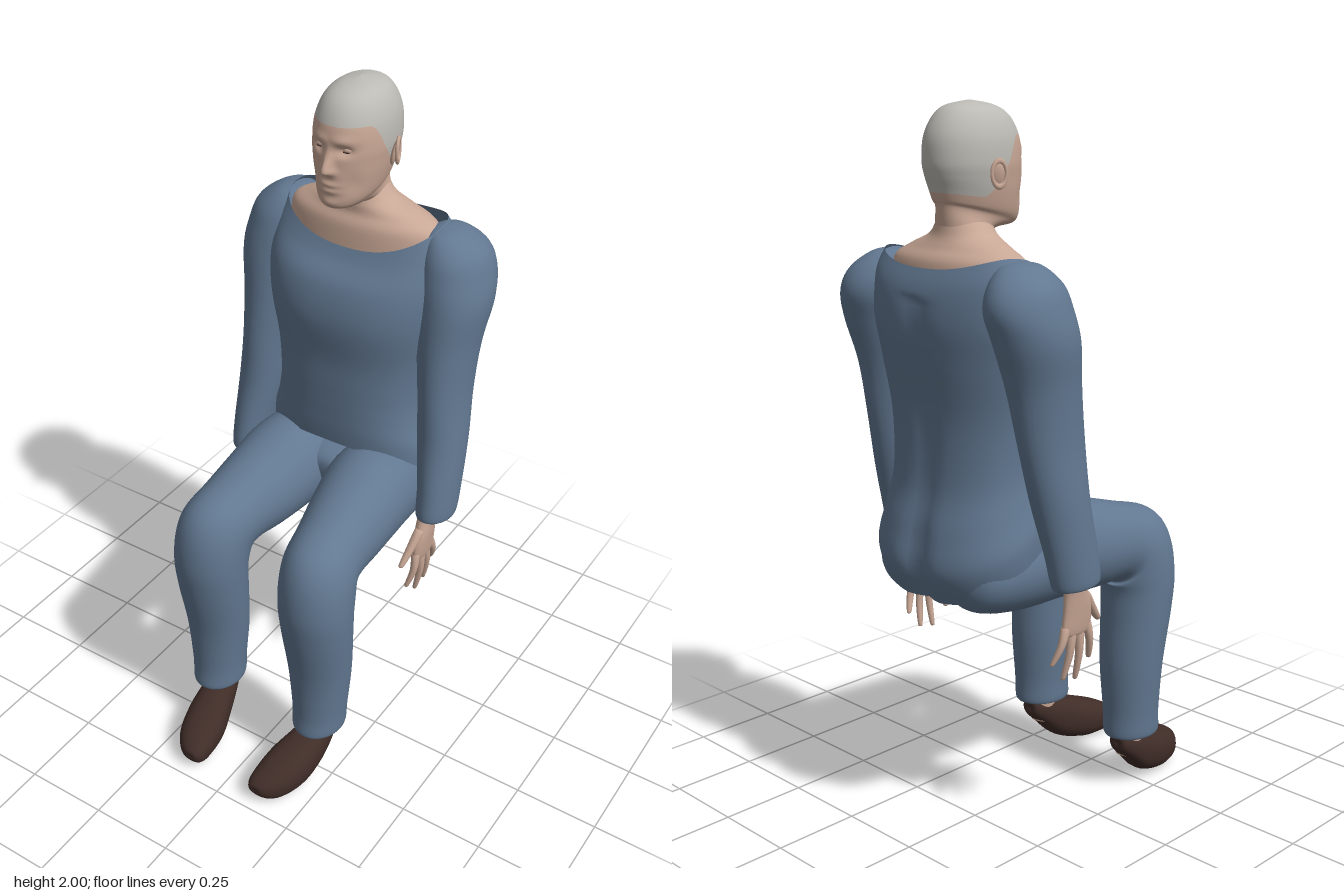
import * as THREE from 'three';

const mat = (name, color, side = THREE.FrontSide) => {
  const m = new THREE.MeshStandardMaterial({ color, side });
  m.name = name;
  return m;
};

// Smooth grid surface closed around theta; point(s, theta) with s from 0 to 1
function surface(point, rows, cols) {
  const pos = [], idx = [];
  for (let i = 0; i <= rows; i++) {
    for (let j = 0; j < cols; j++) pos.push(...point(i / rows, (j / cols) * Math.PI * 2));
  }
  for (let i = 0; i < rows; i++) {
    for (let j = 0; j < cols; j++) {
      const a = i * cols + j, b = i * cols + (j + 1) % cols;
      idx.push(a, b, a + cols, b, b + cols, a + cols);
    }
  }
  const g = new THREE.BufferGeometry();
  g.setAttribute('position', new THREE.Float32BufferAttribute(pos, 3));
  g.setIndex(idx);
  g.computeVertexNormals();
  return g;
}

// Ring: [x, y, z, half width, half depth, tilt in degrees, side lift]
// tilt 0 stands upright across z, tilt 90 lies level
function ringAt(rings, t) {
  const n = rings.length - 1, i = Math.min(Math.floor(t), n - 1), f = t - i;
  const at = (k) => rings[Math.max(0, Math.min(n, k))];
  return [0, 1, 2, 3, 4, 5, 6].map((c) => {
    const [p0, p1, p2, p3] = [-1, 0, 1, 2].map((k) => at(i + k)[c] ?? 0);
    return p1 + 0.5 * f * (p2 - p0 + f * (2 * p0 - 5 * p1 + 4 * p2 - p3 + f * (3 * (p1 - p2) + p3 - p0)));
  });
}

function ringPoint(rings, t, th, pow = 1) {
  const [x, y, z, rx, rv, deg, lift] = ringAt(rings, t);
  const a = THREE.MathUtils.degToRad(deg), c = Math.cos(th), s = Math.sin(th);
  const u = Math.sign(c) * Math.abs(c) ** pow * Math.max(rx, 0);
  const v = Math.sign(s) * Math.abs(s) ** pow * Math.max(rv, 0);
  return [x + u, y + v * Math.cos(a) + lift * c * c, z + v * Math.sin(a)];
}

function loft(rings, { cols = 32, steps = 6, pow = 1, warp = (p) => p } = {}) {
  const n = rings.length - 1;
  return surface((s, th) => warp(ringPoint(rings, s * n, th, pow), th), n * steps, cols);
}

// Close both ends with a point
const closed = (rings) => {
  const tip = (r) => [r[0], r[1], r[2], 0.0005, 0.0005, r[5], 0];
  return [tip(rings[0]), ...rings, tip(rings[rings.length - 1])];
};

const gauss = (d, s) => Math.exp(-(d * d) / (s * s));

export function createModel() {
  const root = new THREE.Group();
  root.name = 'seatedMan';
  const cloth = mat('blue cloth', 0x627891, THREE.DoubleSide);
  const skin = mat('skin', 0xc8a795, THREE.DoubleSide);
  const hair = mat('grey cropped hair', 0xbcbab4);
  const leather = mat('dark brown leather', 0x402d28);
  const add = (name, geo, material) => {
    const m = new THREE.Mesh(geo, material);
    m.name = name;
    root.add(m);
    return m;
  };

  // Shirt body, wide collar down to slanted hem
  const shirt = [
    [0, 1.565, -0.288, 0.235, 0.123, 101, 0.055],
    [0, 1.52, -0.29, 0.262, 0.145, 95, 0.045],
    [0, 1.45, -0.272, 0.272, 0.173, 90, 0.01],
    [0, 1.35, -0.255, 0.258, 0.18, 90],
    [0, 1.2, -0.25, 0.232, 0.165, 85],
    [0, 1.07, -0.2525, 0.225, 0.175, 73],
    [0, 0.98, -0.268, 0.238, 0.2, 66],
    [0, 0.9, -0.276, 0.258, 0.215, 62],
    [0, 0.83, -0.26, 0.255, 0.208, 55],
  ];
  const groove = (p, th) => {
    if (Math.sin(th) < 0 && p[1] < 1.52) {
      p[2] += 0.02 * gauss(p[0], 0.035) * (0.6 + gauss(p[1] - 0.8, 0.12));
    }
    return p;
  };
  add('shirtBody', loft(shirt, { cols: 64, pow: 0.85, warp: groove }), cloth);

  // Seat of the trousers
  add('trouserSeat', loft(closed([
    [0, 0.79, -0.41, 0.14, 0.06, 0], [0, 0.79, -0.3, 0.21, 0.105, 0],
    [0, 0.8, -0.16, 0.2, 0.11, 0], [0, 0.8, -0.08, 0.12, 0.08, 0],
  ])), cloth);

  // Neck base and upper chest inside the collar
  add('upperChest', loft([
    [0, 1.7, -0.265, 0.068, 0.073, 90], [0, 1.665, -0.267, 0.1, 0.077, 90],
    [0, 1.635, -0.275, 0.168, 0.085, 90], [0, 1.6, -0.28, 0.225, 0.105, 90],
    [0, 1.53, -0.28, 0.24, 0.113, 90],
  ], { cols: 48 }), skin);

  // Head: crown to neck, with the hairline dividing hair from face
  const head = [
    [0, 2.0, -0.24, 0.001, 0.001, 90], [0, 1.987, -0.24, 0.05, 0.07, 90],
    [0, 1.96, -0.235, 0.08, 0.11, 90], [0, 1.91, -0.234, 0.1, 0.136, 90],
    [0, 1.85, -0.2325, 0.105, 0.1425, 90], [0, 1.81, -0.229, 0.101, 0.14, 92],
    [0, 1.77, -0.2235, 0.094, 0.136, 96], [0, 1.73, -0.2215, 0.083, 0.131, 101],
    [0, 1.711, -0.2275, 0.071, 0.12, 104], [0, 1.686, -0.2625, 0.07, 0.079, 100],
    [0, 1.64, -0.263, 0.078, 0.072, 90], [0, 1.58, -0.263, 0.08, 0.07, 90],
  ];
  const face = (x, y) => {
    const ax = Math.abs(x);
    const nose = 0.03 * gauss(x, 0.013 + Math.max(0, 1.81 - y) * 0.2) * gauss(y - 1.798, y > 1.798 ? 0.036 : 0.013);
    const socket = -0.013 * gauss(ax - 0.038, 0.02) * gauss(y - 1.85, 0.013);
    const brow = 0.005 * gauss(ax - 0.035, 0.03) * gauss(y - 1.877, 0.012);
    const lips = 0.006 * gauss(x, 0.026) * (gauss(y - 1.757, 0.007) + gauss(y - 1.739, 0.007));
    const chin = 0.007 * gauss(x, 0.03) * gauss(y - 1.703, 0.014);
    const cheek = -0.006 * gauss(ax - 0.06, 0.02) * gauss(y - 1.76, 0.03);
    return nose + socket + brow + lips + chin + cheek;
  };
  const headPoint = (t, th) => {
    const p = ringPoint(head, t, th, 0.95);
    if (Math.sin(th) > 0 && t < 8.6) p[2] += face(p[0], p[1]) * Math.min(1, Math.sin(th) * 2);
    return p;
  };
  const hairline = (th) => 2.95 + 3.4 * THREE.MathUtils.smoothstep(-Math.sin(th), -0.6, 0.4);
  add('hair', surface((s, th) => headPoint(s * hairline(th), th), 36, 120), hair);
  add('faceAndNeck', surface((s, th) => headPoint(THREE.MathUtils.lerp(hairline(th), 11, s), th), 90, 120), skin);

  for (const [side, k] of [['left', 1], ['right', -1]]) {
    const limb = (name, rings, material, opts) =>
      add(side + name, loft(rings.map(([x, ...r]) => [x * k, ...r]), opts), material);
    const blob = (name, material, x, y, z, sx, sy, sz) => {
      const m = add(side + name, new THREE.SphereGeometry(1, 20, 14), material);
      m.position.set(x * k, y, z);
      m.scale.set(sx, sy, sz);
      return m;
    };

    // Eyes and ears
    blob('Eyelid', skin, 0.038, 1.851, -0.118, 0.016, 0.011, 0.011);
    blob('Eye', leather, 0.038, 1.847, -0.11, 0.012, 0.0025, 0.004);
    blob('Ear', skin, 0.106, 1.815, -0.242, 0.009, 0.035, 0.02).rotation.set(-0.15, 0.35 * k, -0.15 * k);
    const rim = add(side + 'EarRim', new THREE.TorusGeometry(0.02, 0.005, 8, 24), skin);
    rim.position.set(0.113 * k, 1.82, -0.246);
    rim.rotation.set(0, Math.PI / 2 + 0.35 * k, 0);
    rim.scale.set(1, 1.6, 1);

    // Sleeve
    limb('Sleeve', [
      [0.24, 1.617, -0.3, 0.002, 0.002, 90], [0.245, 1.605, -0.302, 0.045, 0.06, 90],
      [0.265, 1.56, -0.308, 0.085, 0.105, 90], [0.275, 1.5, -0.308, 0.1, 0.125, 90],
      [0.286, 1.42, -0.29, 0.1, 0.122, 90], [0.287, 1.3, -0.265, 0.085, 0.108, 90],
      [0.295, 1.15, -0.245, 0.071, 0.1, 90], [0.307, 1.0, -0.225, 0.068, 0.088, 90],
      [0.32, 0.86, -0.197, 0.058, 0.082, 88], [0.323, 0.772, -0.18, 0.053, 0.077, 86],
      [0.321, 0.775, -0.18, 0.04, 0.06, 86],
    ], cloth);

    // Hand with four fingers and a thumb
    limb('Palm', closed([
      [0.312, 0.82, -0.175, 0.03, 0.036, 90], [0.305, 0.76, -0.165, 0.026, 0.034, 90],
      [0.303, 0.69, -0.153, 0.022, 0.05, 90], [0.3, 0.62, -0.155, 0.015, 0.049, 90],
    ]), skin, { cols: 20 });
    const fingers = [[-0.115, -0.09, 0.53], [-0.142, -0.143, 0.485], [-0.168, -0.19, 0.495], [-0.193, -0.232, 0.545]];
    for (const [z0, z1, y1] of fingers) {
      limb('Finger', closed([
        [0.3, 0.645, z0, 0.012, 0.014, 90], [0.302, (0.645 + y1) / 2, (z0 + z1) / 2, 0.011, 0.011, 90],
        [0.288, y1, z1, 0.007, 0.007, 90],
      ]), skin, { cols: 10, steps: 4 });
    }
    limb('Thumb', closed([
      [0.303, 0.725, -0.13, 0.015, 0.02, 90], [0.295, 0.675, -0.09, 0.013, 0.015, 80],
      [0.287, 0.63, -0.053, 0.008, 0.009, 70],
    ]), skin, { cols: 10, steps: 4 });

    // Trouser leg: thigh forward, knee bend, shin down
    limb('TrouserLeg', [
      [0.12, 0.785, -0.43, 0.002, 0.002, 0], [0.125, 0.785, -0.39, 0.09, 0.085, 0],
      [0.133, 0.795, -0.27, 0.13, 0.125, 0], [0.14, 0.81, -0.1, 0.135, 0.145, 0],
      [0.152, 0.792, 0.04, 0.122, 0.13, 3], [0.165, 0.775, 0.15, 0.108, 0.114, 12],
      [0.176, 0.742, 0.213, 0.108, 0.126, 45], [0.181, 0.66, 0.238, 0.108, 0.112, 76],
      [0.182, 0.56, 0.234, 0.104, 0.103, 88], [0.182, 0.4, 0.217, 0.093, 0.093, 90],
      [0.183, 0.25, 0.217, 0.08, 0.086, 90], [0.183, 0.178, 0.22, 0.075, 0.088, 90],
      [0.183, 0.182, 0.22, 0.058, 0.07, 90],
    ], cloth, { cols: 40 });

    // Ankle and shoe
    limb('Ankle', [
      [0.183, 0.24, 0.21, 0.048, 0.055, 90], [0.178, 0.17, 0.21, 0.044, 0.046, 90],
      [0.176, 0.1, 0.225, 0.04, 0.045, 90],
    ], skin, { cols: 20 });
    limb('Shoe', closed([
      [0.18, 0.148, 0.162, 0.028, 0.024, 0], [0.178, 0.13, 0.2, 0.045, 0.045, 0],
      [0.17, 0.097, 0.26, 0.056, 0.067, 0], [0.155, 0.071, 0.34, 0.067, 0.066, 0],
      [0.141, 0.058, 0.41, 0.06, 0.053, 0], [0.128, 0.053, 0.45, 0.044, 0.037, 0],
      [0.12, 0.056, 0.47, 0.022, 0.016, 0],
    ]), leather, { cols: 24, steps: 4, pow: 0.85 });
  }
  return root;
}
